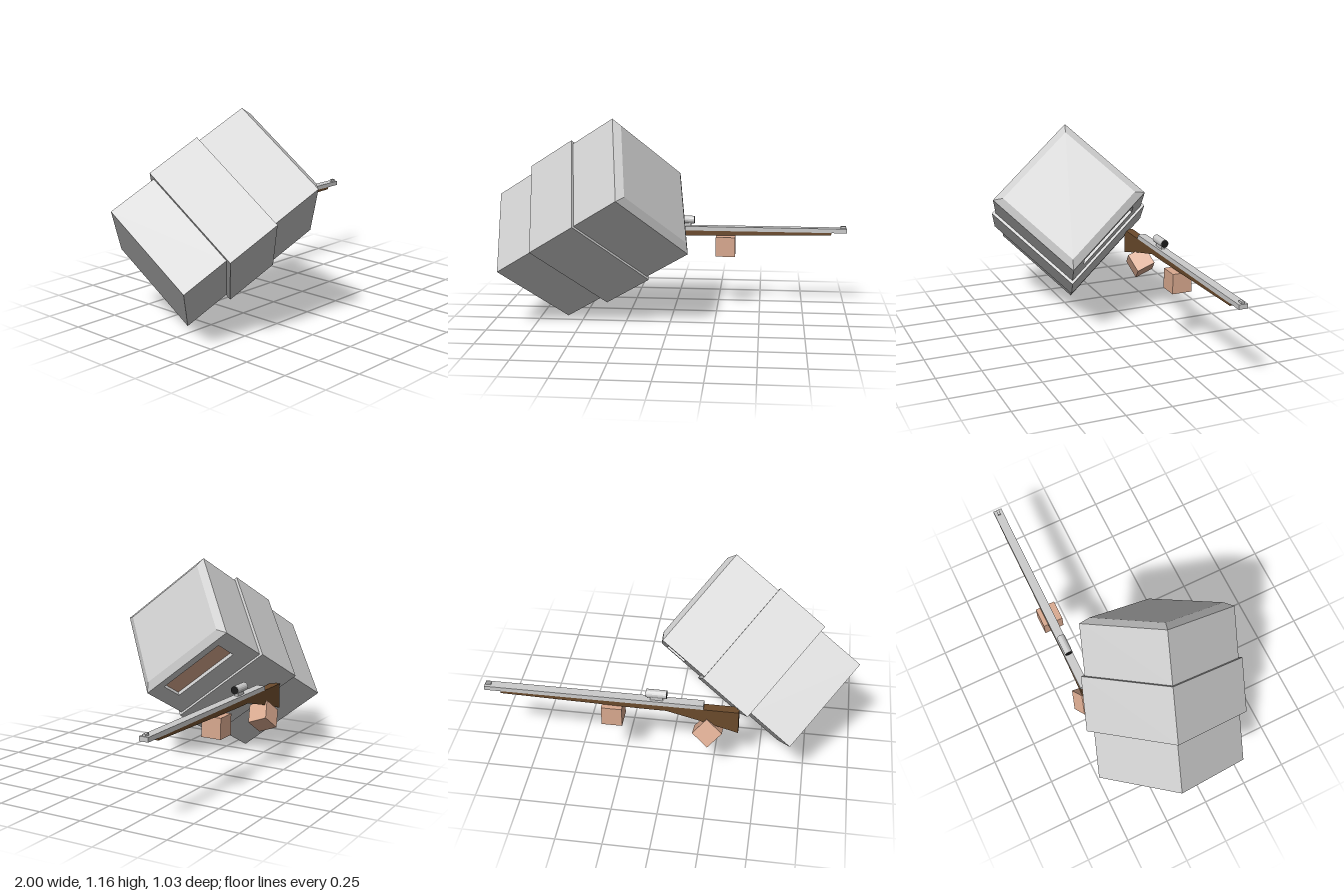
import * as THREE from 'three';

const paint = (color) => new THREE.MeshStandardMaterial({ color, flatShading: true });
const grey = paint(0xcccccc), skin = paint(0xd9a98f), wood = paint(0x6b4a2b), black = paint(0x1a1a1a);

function add(parent, name, geometry, material, x = 0, y = 0, z = 0) {
  const mesh = new THREE.Mesh(geometry, material);
  mesh.name = name;
  mesh.position.set(x, y, z);
  parent.add(mesh);
  return mesh;
}
const box = (w, h, d) => new THREE.BoxGeometry(w, h, d);

function rectangle(x0, y0, x1, y1, Kind = THREE.Shape) {
  return new Kind([[x0, y0], [x1, y0], [x1, y1], [x0, y1]].map((p) => new THREE.Vector2(...p)));
}

// Tilted helmet: local z runs up through the crown, local y is the face side
function createHelmet() {
  const helmet = new THREE.Group();
  helmet.name = 'helmet';
  const n = new THREE.Vector3(0.806, 0.519, 0.288).normalize();
  const v = n.clone().cross(new THREE.Vector3(0.126, -0.631, 0.766)).normalize();
  const u = v.clone().cross(n);
  helmet.quaternion.setFromRotationMatrix(new THREE.Matrix4().makeBasis(u, v, n));
  helmet.position.set(-0.1, 0.798, 0.117);

  const size = 0.596, depth = 0.025, height = 0.289;
  add(helmet, 'lowerSection', box(0.57, 0.57, 0.272), grey, 0, 0, -0.733);
  add(helmet, 'middleSection', box(0.628, 0.624, 0.308), grey, 0, 0, -0.443);
  add(helmet, 'upperSection', box(size, size - depth, height), grey, 0, -depth / 2, -height / 2);

  // Front plate with the visor slot cut through it
  const plate = rectangle(-size / 2, 0, size / 2, height);
  plate.holes.push(rectangle(-0.205, 0.04, 0.205, 0.165, THREE.Path));
  const plateGeometry = new THREE.ExtrudeGeometry(plate, { depth, bevelEnabled: false });
  plateGeometry.rotateX(-Math.PI / 2);
  add(helmet, 'visorPlate', plateGeometry, grey, 0, size / 2 - depth, 0);
  add(helmet, 'face', box(0.41, 0.004, 0.125), skin, 0, size / 2 - depth, -0.1025);

  // Bevelled crown
  const crown = new THREE.CylinderGeometry(0.515 / Math.SQRT2, size / Math.SQRT2, 0.026, 4);
  crown.rotateY(Math.PI / 4).rotateX(Math.PI / 2);
  add(helmet, 'crown', crown, grey, 0, 0, 0.013);
  return helmet;
}

// Rifle along +x with its wooden stock, scope and sight
function createRifle() {
  const rifle = new THREE.Group();
  rifle.name = 'rifle';
  rifle.position.z = -0.375;
  add(rifle, 'barrel', box(1.2, 0.025, 0.05), grey, 0.4, 0.473, 0);
  add(rifle, 'frontSight', box(0.03, 0.012, 0.016), grey, 0.98, 0.491, 0);

  const profile = [[0.91, 0.461], [-0.2, 0.461], [-0.39, 0.461], [-0.39, 0.32], [-0.17, 0.385], [0, 0.43], [0.11, 0.43], [0.91, 0.448]];
  const stock = new THREE.ExtrudeGeometry(
    new THREE.Shape(profile.map((p) => new THREE.Vector2(...p))), { depth: 0.05, bevelEnabled: false });
  add(rifle, 'stock', stock, wood, 0, 0, -0.025);

  add(rifle, 'scopeMount', box(0.07, 0.022, 0.022), grey, 0.055, 0.493, 0);
  const tube = new THREE.CylinderGeometry(0.023, 0.023, 0.11, 16).rotateZ(Math.PI / 2);
  add(rifle, 'scopeTube', tube, grey, 0.055, 0.522, 0);
  const lens = new THREE.CylinderGeometry(0.021, 0.021, 0.112, 16).rotateZ(Math.PI / 2);
  add(rifle, 'scopeLenses', lens, black, 0.055, 0.522, 0);
  return rifle;
}

export function createModel() {
  const model = new THREE.Group();
  model.add(createHelmet(), createRifle());
  add(model, 'frontHand', box(0.113, 0.115, 0.115), skin, 0.295, 0.373, -0.368);
  const rear = add(model, 'rearHand', box(0.114, 0.114, 0.114), skin, -0.225, 0.305, -0.38);
  rear.rotation.set(0.36, 0, 0.72);
  return model;
}
